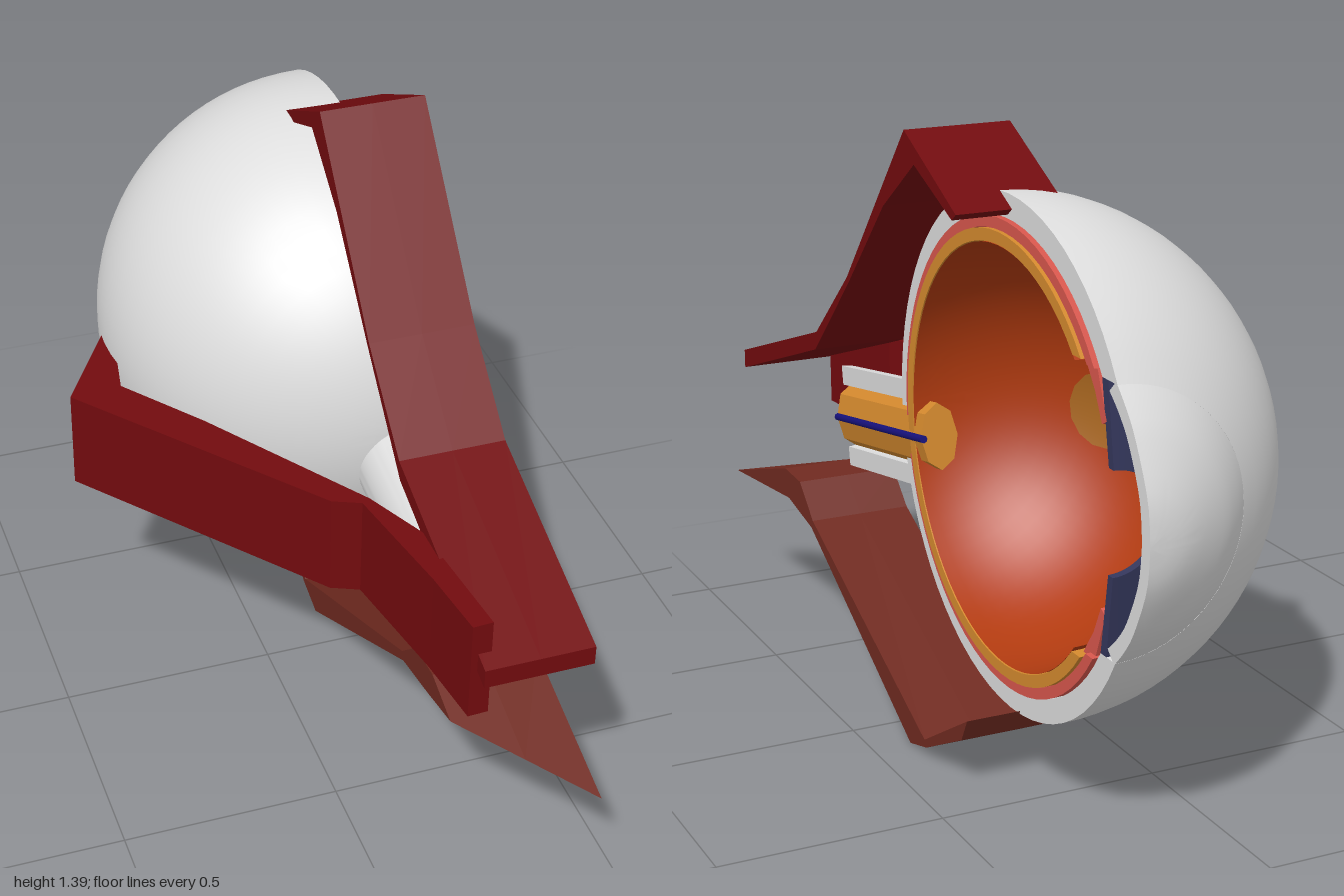
import * as THREE from 'three';
import { toCreasedNormals } from 'three/addons/utils/BufferGeometryUtils.js';

const CENTRE = new THREE.Vector3(0.285, 0.735, -0.375);

function material(name, color) {
  const m = new THREE.MeshStandardMaterial({ color, side: THREE.DoubleSide });
  m.name = name;
  return m;
}

function part(parent, name, geometry, mat, x = 0) {
  const mesh = new THREE.Mesh(geometry, mat);
  mesh.name = name;
  mesh.position.x = x;
  parent.add(mesh);
  return mesh;
}

// Points [radius, depth] on a circle, from angle a to b (-90 degrees is the back pole)
function arc(r, a, b, n = 28) {
  return Array.from({ length: n + 1 }, (_, i) => {
    const t = a + ((b - a) * i) / n;
    return [Math.max(0, r * Math.cos(t)), r * Math.sin(t)];
  });
}

// Half solid of revolution about z (depth runs to -z), with a flat cut face towards +x
function halfRevolve(parent, name, profile, mat, x = 0, closed = true) {
  const group = new THREE.Group();
  group.name = name;
  group.position.x = x;
  parent.add(group);
  const loop = closed ? [...profile, profile[0]] : profile;
  const pts = loop.map(([r, d]) => new THREE.Vector2(r, d));
  const skin = new THREE.LatheGeometry(pts, 40, Math.PI, Math.PI).rotateX(-Math.PI / 2);
  part(group, name + 'Skin', toCreasedNormals(skin, 0.6), mat);
  if (!closed) return;
  for (const side of [1, -1]) {
    const face = new THREE.ShapeGeometry(
      new THREE.Shape(profile.map(([r, d]) => new THREE.Vector2(side * r, d))));
    face.rotateY(Math.PI / 2).rotateX(-Math.PI / 2);
    // lay the section on the cut plane: height = radius, z = -depth
    const src = new THREE.ShapeGeometry(
      new THREE.Shape(profile.map(([r, d]) => new THREE.Vector2(-d, side * r))));
    src.rotateY(-Math.PI / 2);
    face.dispose();
    const idx = src.index.array;
    const p = src.attributes.position;
    // turn the triangles to face +x
    for (let i = 0; i < idx.length; i += 3) {
      const [a, b, c] = [idx[i], idx[i + 1], idx[i + 2]];
      const area = (p.getY(b) - p.getY(a)) * (p.getZ(c) - p.getZ(a))
        - (p.getZ(b) - p.getZ(a)) * (p.getY(c) - p.getY(a));
      if (area < 0) [idx[i + 1], idx[i + 2]] = [c, b];
    }
    src.computeVertexNormals();
    part(group, name + 'CutFace', src, mat);
  }
}

// Flat ribbon: a side outline extruded by its width
function ribbon(outline, width) {
  const shape = new THREE.Shape(outline.map(([a, b]) => new THREE.Vector2(a, b)));
  return new THREE.ExtrudeGeometry(shape, { depth: width, steps: 2, bevelEnabled: false });
}

export function createModel() {
  const root = new THREE.Group();
  root.name = 'eyeSection';
  const white = material('scleraWhite', 0xdedede);
  const pink = material('choroidRed', 0xd8574d);
  const gold = material('retinaGold', 0xd58a2e);
  const rust = material('liningRust', 0xb23b10);
  const tan = material('maculaTan', 0xa8661f);
  const navy = material('irisNavy', 0x34375c);
  const blue = material('vesselBlue', 0x17127c);
  const red = material('muscleRed', 0x720b0e);
  const brown = material('muscleBrown', 0x702a20);

  const eye = new THREE.Group();
  eye.name = 'eyeball';
  eye.position.copy(CENTRE);
  root.add(eye);

  // Nested shells, each ending at the front opening
  const back = -Math.PI / 2;
  const shell = (ro, ri, rim) => [
    ...arc(ro, back, Math.acos(rim / ro)), ...arc(ri, Math.acos(rim / ri), back)];
  halfRevolve(eye, 'sclera', shell(0.565, 0.512, 0.285), white);
  halfRevolve(eye, 'choroid', shell(0.511, 0.486, 0.3), pink, 0.012);
  halfRevolve(eye, 'retina', shell(0.485, 0.458, 0.31), gold, 0.02);
  halfRevolve(eye, 'innerLining', arc(0.456, back, Math.acos(0.3 / 0.456)), rust, 0.018, false);

  // Cornea dome, ciliary ring and iris
  const curve = (pts) => new THREE.SplineCurve(pts.map(([a, b]) => new THREE.Vector2(a, b)))
    .getPoints(14).map((v) => [Math.max(0, v.x), v.y]);
  halfRevolve(eye, 'cornea', [
    ...curve([[0.29, 0.482], [0.25, 0.522], [0.195, 0.563], [0.09, 0.613], [0, 0.625]]),
    ...curve([[0, 0.592], [0.085, 0.58], [0.18, 0.535], [0.23, 0.495], [0.265, 0.455]])], white);
  halfRevolve(eye, 'ciliaryRing',
    [[0.33, 0.335], [0.31, 0.4], [0.2, 0.445], [0.19, 0.425], [0.25, 0.395]], pink);
  halfRevolve(eye, 'iris', [[0.285, 0.425], [0.285, 0.45], [0.11, 0.475], [0.11, 0.455]], navy);

  // Macula patch on the lining
  const macula = part(eye, 'macula',
    new THREE.SphereGeometry(0.45, 14, 5, 0, Math.PI * 2, 0, 0.2), tan, 0.018);
  macula.quaternion.setFromUnitVectors(new THREE.Vector3(0, 1, 0),
    new THREE.Vector3(-0.377, -0.01, 0.245).normalize());

  // Optic nerve: halved sheath, fibre core and central vessel
  const nerve = new THREE.Group();
  nerve.name = 'opticNerve';
  nerve.position.set(CENTRE.x, 0.66, 0.05);
  nerve.rotation.x = 0.17;
  root.add(nerve);
  halfRevolve(nerve, 'nerveSheath',
    [[0.076, -0.5], [0.122, -0.5], [0.122, -0.08], [0.076, -0.08]], white);
  const core = new THREE.CylinderGeometry(0.077, 0.077, 0.52, 8).toNonIndexed();
  core.rotateX(Math.PI / 2).scale(0.58, 1, 1).translate(-0.022, 0, 0.24);
  core.computeVertexNormals();
  part(nerve, 'nerveCore', core, gold);
  const vessel = new THREE.CylinderGeometry(0.009, 0.009, 0.53, 8).rotateX(Math.PI / 2);
  part(nerve, 'nerveVessel', vessel.translate(0.021, 0, 0.235), blue);

  // Upper muscle, outline in (z, y)
  const upper = ribbon([[0.91, 0.62], [0.91, 0.665], [0.4, 0.835], [0.2, 1.01], [-0.14, 1.4],
    [-0.4, 1.27], [-0.38, 1.255], [-0.19, 1.335], [-0.02, 1.215], [0.19, 1.0], [0.41, 0.79]], 0.245);
  part(root, 'upperMuscle', upper.rotateY(-Math.PI / 2), red, 0.41);

  // Lower muscle, with its free end slanted to a point
  const lower = ribbon([[1.0, 0.32], [0.64, 0.43], [0.54, 0.425], [0.46, 0.35], [-0.2, 0.045],
    [-0.43, 0.18], [-0.4, 0.125], [-0.21, 0.03], [-0.12, 0.005], [0.47, 0.33], [0.62, 0.36]], 0.245);
  lower.rotateY(-Math.PI / 2);
  const lp = lower.attributes.position;
  for (let i = 0; i < lp.count; i++) {
    if (lp.getZ(i) > 0.9) {
      const t = -lp.getX(i) / 0.245;
      lp.setZ(i, 1 - 0.25 * t);
      lp.setY(i, 0.32 + 0.07 * t);
    }
  }
  lower.computeVertexNormals();
  part(root, 'lowerMuscle', lower, brown, 0.41);

  // Side muscle, outline in (x, z), dropping slightly outwards
  const side = ribbon([[0.195, 0.87], [0.15, 0.87], [0.13, 0.7], [0.08, 0.41], [0.02, 0.38],
    [-0.41, -0.2], [-0.27, -0.43], [-0.255, -0.39], [-0.29, -0.2], [-0.15, 0.0],
    [0.1, 0.4], [0.165, 0.55]], 0.24);
  side.rotateX(Math.PI / 2).translate(0, 0.755, 0);
  const sp = side.attributes.position;
  for (let i = 0; i < sp.count; i++) sp.setY(i, sp.getY(i) - 0.045 * (0.2 - sp.getX(i)));
  side.computeVertexNormals();
  part(root, 'sideMuscle', side, red);

  return root;
}
